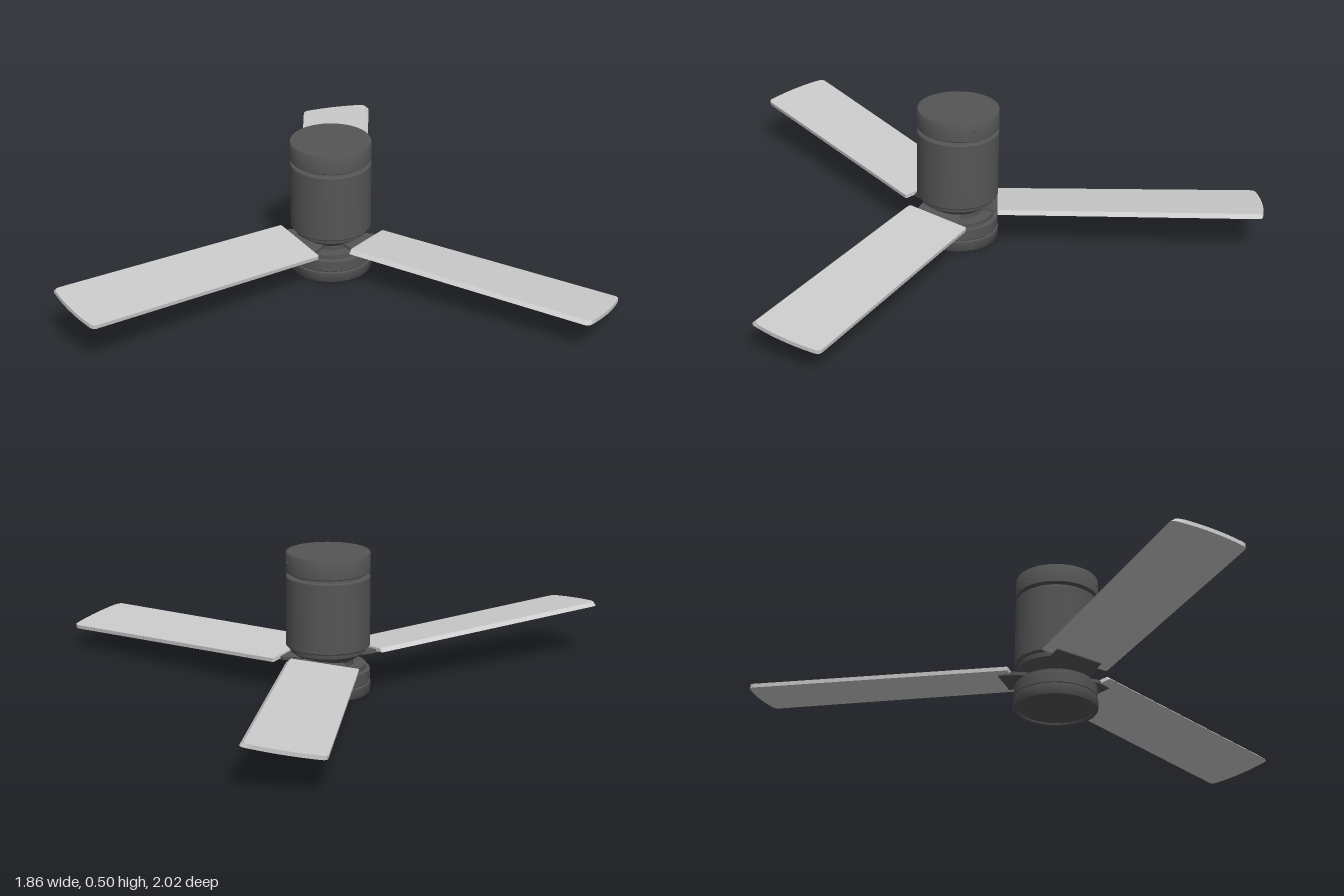
import * as THREE from 'three';
import { toCreasedNormals } from 'three/addons/utils/BufferGeometryUtils.js';

const HUB_X = -0.165, HUB_Z = -0.073, BLADE_Y = 0.13;

export function createModel() {
  const fan = new THREE.Group();
  fan.name = 'ceilingFan';
  const dark = new THREE.MeshStandardMaterial({ color: 0x555555 });
  const light = new THREE.MeshStandardMaterial({ color: 0xcccccc });

  const hub = new THREE.Group();
  hub.name = 'hub';
  hub.position.set(HUB_X, 0, HUB_Z);
  fan.add(hub);

  // Turned part from [radius, height] points, listed from the bottom up
  function turned(name, profile) {
    const points = profile.map(([r, y]) => new THREE.Vector2(r, y));
    const geometry = toCreasedNormals(new THREE.LatheGeometry(points, 64), 0.6);
    const mesh = new THREE.Mesh(geometry, dark);
    mesh.name = name;
    hub.add(mesh);
  }

  // Lower cap with a shallow recess underneath and a seam around it
  turned('lowerCap', [
    [0, 0.006], [0.131, 0.006], [0.133, 0], [0.147, 0], [0.149, 0.003],
    [0.149, 0.036], [0.145, 0.038], [0.145, 0.042], [0.147, 0.044],
    [0.147, 0.082], [0.144, 0.085], [0.132, 0.085], [0.132, 0.1], [0, 0.1],
  ]);
  // Rotor neck that carries the blades
  turned('rotorNeck', [
    [0, 0.098], [0.09, 0.098], [0.09, 0.118], [0.132, 0.148], [0.135, 0.17], [0, 0.17],
  ]);
  turned('motorHousing', [
    [0, 0.165], [0.143, 0.165], [0.147, 0.169], [0.147, 0.414], [0.143, 0.418], [0, 0.418],
  ]);
  turned('canopyNeck', [[0, 0.415], [0.125, 0.415], [0.125, 0.435], [0, 0.435]]);
  turned('canopy', [
    [0, 0.43], [0.145, 0.43], [0.147, 0.432], [0.147, 0.497], [0.145, 0.5], [0, 0.5],
  ]);

  // Small fixing screws on the canopy
  for (let i = 0; i < 3; i++) {
    const a = 1 + i * Math.PI * 2 / 3;
    const screw = new THREE.Mesh(new THREE.SphereGeometry(0.005, 12, 8), dark);
    screw.name = 'canopyScrew';
    screw.position.set(Math.cos(a) * 0.146, 0.468, Math.sin(a) * 0.146);
    hub.add(screw);
  }

  // Blade outline: slightly wider towards a bowed tip with rounded corners
  const outline = new THREE.Shape();
  outline.moveTo(0.146, -0.118);
  outline.quadraticCurveTo(0.146, -0.126, 0.154, -0.126);
  outline.lineTo(1.068, -0.135);
  outline.quadraticCurveTo(1.085, -0.135, 1.089, -0.118);
  outline.quadraticCurveTo(1.108, 0, 1.089, 0.118);
  outline.quadraticCurveTo(1.085, 0.135, 1.068, 0.135);
  outline.lineTo(0.154, 0.126);
  outline.quadraticCurveTo(0.146, 0.126, 0.146, 0.118);
  outline.closePath();
  const bladeGeometry = new THREE.ExtrudeGeometry(outline, {
    depth: 0.014, bevelEnabled: false, curveSegments: 10,
  });
  bladeGeometry.rotateX(-Math.PI / 2);
  // Chamfer the raised long edge by drawing its top in
  const p = bladeGeometry.attributes.position;
  for (let i = 0; i < p.count; i++) {
    if (p.getY(i) > 0.007 && p.getZ(i) > 0.11) p.setZ(i, p.getZ(i) - 0.013);
  }
  bladeGeometry.translate(0, -0.007, 0);
  const bladeSmooth = toCreasedNormals(bladeGeometry, 0.5);

  // Flat bracket between neck and blade root
  const armShape = new THREE.Shape([
    [0.05, -0.05], [0.13, -0.085], [0.19, -0.085],
    [0.19, 0.085], [0.13, 0.085], [0.05, 0.05],
  ].map(([x, y]) => new THREE.Vector2(x, y)));
  const armGeometry = new THREE.ExtrudeGeometry(armShape, { depth: 0.012, bevelEnabled: false });
  armGeometry.rotateX(-Math.PI / 2);
  armGeometry.translate(0, -0.012, 0);

  // Three pitched blades: [heading in degrees, slope along the blade]
  for (const [heading, slope] of [[9, -0.028], [128.1, 0.01], [256.1, 0.048]]) {
    const group = new THREE.Group();
    group.name = 'bladeAssembly';
    group.position.y = BLADE_Y;
    group.rotation.set(-0.12, THREE.MathUtils.degToRad(heading), slope, 'YZX');
    const blade = new THREE.Mesh(bladeSmooth, light);
    blade.name = 'blade';
    const arm = new THREE.Mesh(armGeometry, dark);
    arm.name = 'bladeArm';
    group.add(blade, arm);
    hub.add(group);
  }
  return fan;
}
